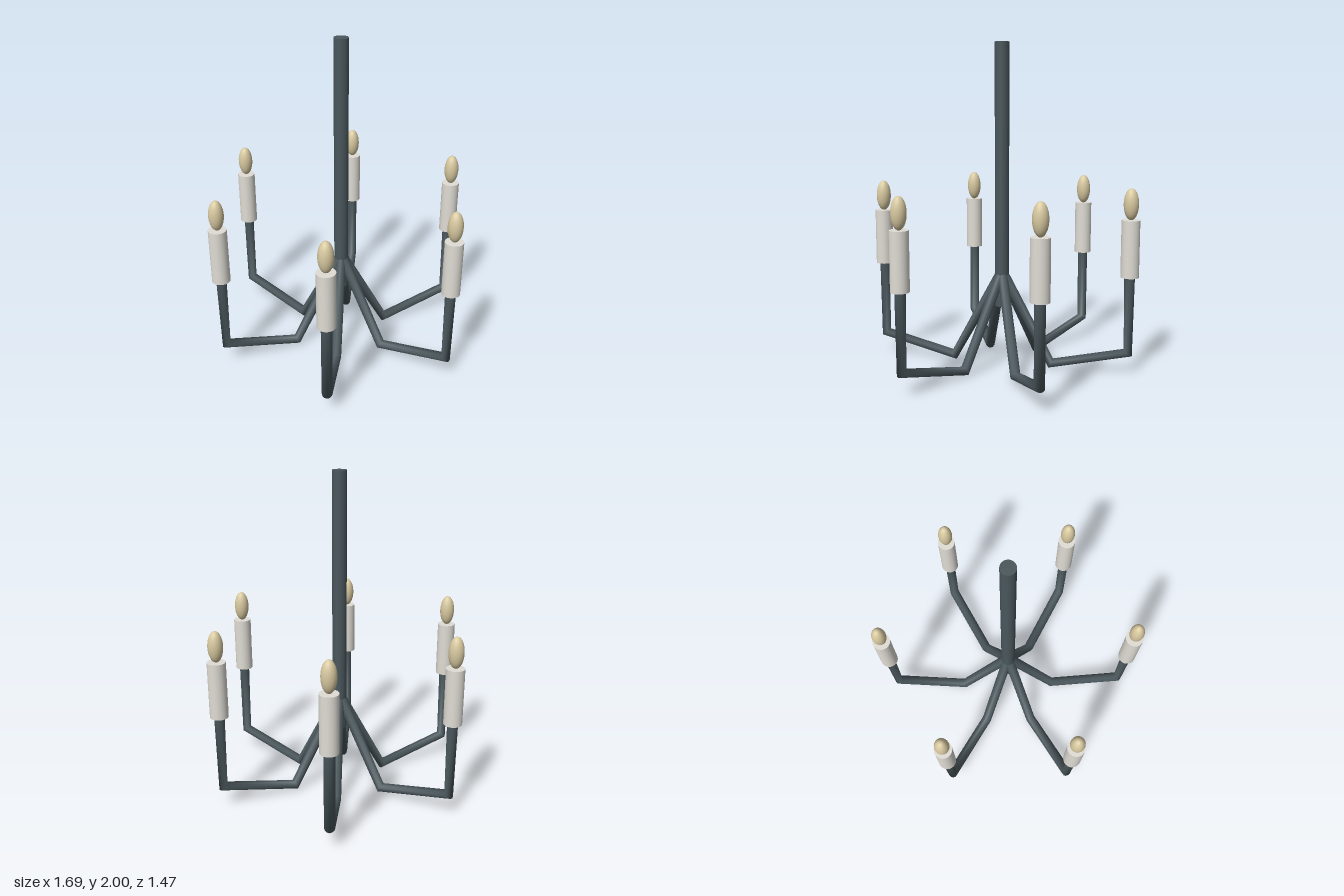
import * as THREE from 'three';

const iron = new THREE.MeshStandardMaterial({ color: 0x4a575c });
iron.name = 'dark iron';
const ivory = new THREE.MeshStandardMaterial({ color: 0xe0ddd5 });
ivory.name = 'ivory sleeve';
const amber = new THREE.MeshStandardMaterial({ color: 0xd8c9a0 });
amber.name = 'warm bulb';

// Straight runs joined at sharp elbows; the tangent at an elbow bisects its two runs
class BentPath extends THREE.Curve {
  constructor(points) {
    super();
    this.points = points;
  }
  getPoint(t, target = new THREE.Vector3()) {
    const runs = this.points.length - 1;
    const i = Math.min(Math.floor(t * runs + 1e-6), runs - 1);
    return target.lerpVectors(this.points[i], this.points[i + 1], t * runs - i);
  }
  getPointAt(u, target) {
    return this.getPoint(u, target);
  }
  getTangentAt(u, target = new THREE.Vector3()) {
    const e = 1e-3;
    const before = this.getPoint(Math.max(u - e, 0));
    const here = this.getPoint(u);
    const after = this.getPoint(Math.min(u + e, 1));
    return target.subVectors(here, before).normalize().add(after.sub(here).normalize()).normalize();
  }
}

function addMesh(parent, name, geometry, material, x, y) {
  const mesh = new THREE.Mesh(geometry, material);
  mesh.name = name;
  mesh.position.set(x, y, 0);
  parent.add(mesh);
}

export function createModel() {
  const model = new THREE.Group();
  model.name = 'chandelier';

  // Central hanging rod
  addMesh(model, 'centralRod', new THREE.CylinderGeometry(0.044, 0.044, 1.62, 24), iron, 0, 1.19);

  // Shared shapes for the six lights
  const reach = 0.788;
  const path = new BentPath([
    new THREE.Vector3(0, 0.6, 0),
    new THREE.Vector3(0.315, 0.032, 0),
    new THREE.Vector3(reach, 0.143, 0),
    new THREE.Vector3(reach, 0.63, 0),
  ]);
  const armShape = new THREE.TubeGeometry(path, 3, 0.032, 12, false);
  const sleeveShape = new THREE.CylinderGeometry(0.055, 0.055, 0.345, 24);
  const bulbShape = new THREE.SphereGeometry(1, 24, 16).scale(0.045, 0.095, 0.045);

  // Six arms, each with a candle sleeve and a bulb
  for (let i = 0; i < 6; i++) {
    const light = new THREE.Group();
    light.name = `lightArm${i + 1}`;
    addMesh(light, 'arm', armShape, iron, 0, 0);
    addMesh(light, 'candleSleeve', sleeveShape, ivory, reach, 0.783);
    addMesh(light, 'bulb', bulbShape, amber, reach, 1.049);
    light.rotation.y = (i * Math.PI) / 3;
    model.add(light);
  }
  return model;
}
